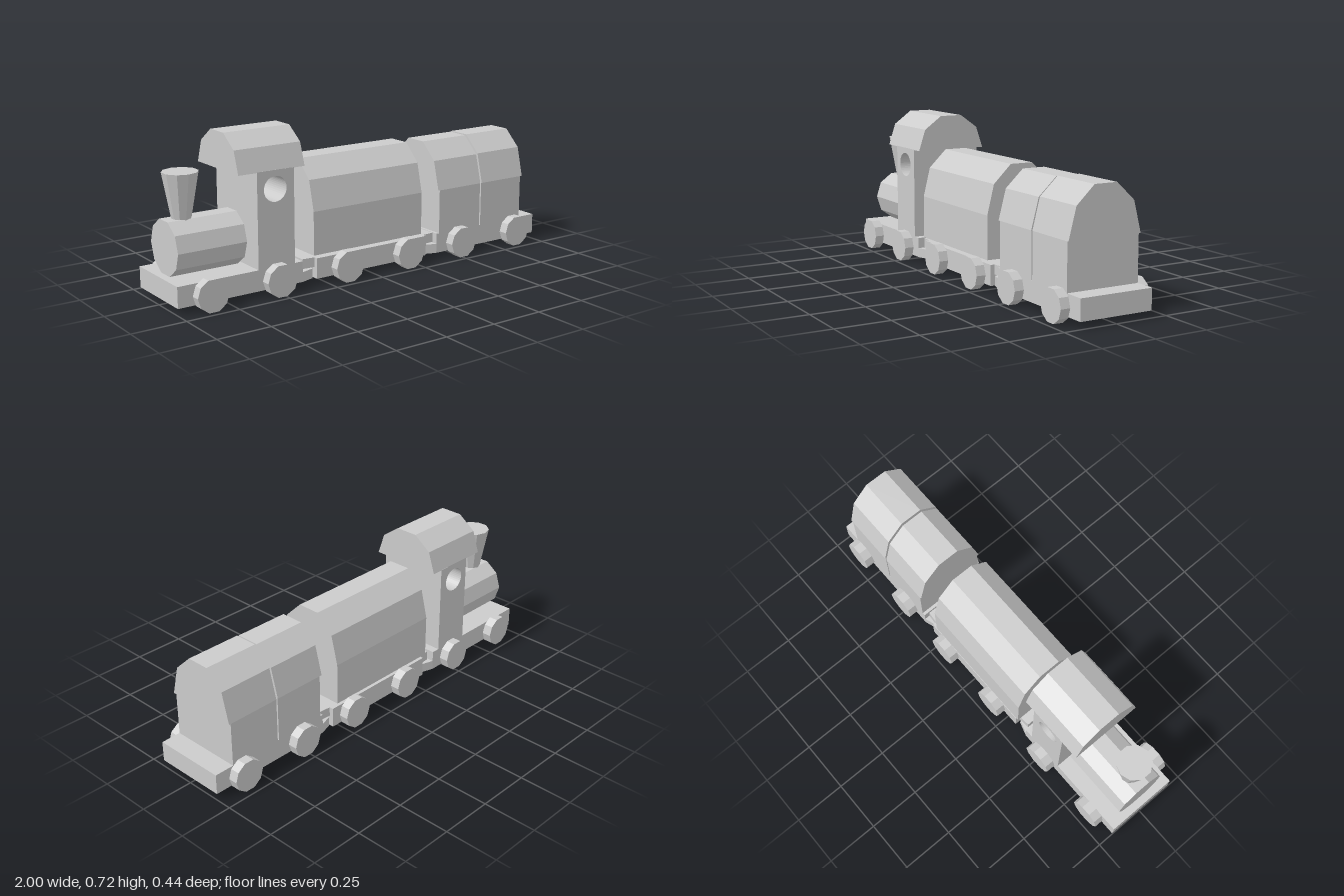
import * as THREE from 'three';

export function createModel() {
  const model = new THREE.Group();
  const mat = new THREE.MeshStandardMaterial({ color: 0xcccccc, flatShading: true });
  const W = 0.175; // half width of the train

  const add = (parent, name, geo, x = 0, y = 0, z = 0) => {
    const m = new THREE.Mesh(geo, mat);
    m.name = name;
    m.position.set(x, y, z);
    parent.add(m);
    return m;
  };
  // box given by its limits in x and y, centred on z
  const box = (parent, name, x0, x1, y0, y1, w = W) =>
    add(parent, name, new THREE.BoxGeometry(x1 - x0, y1 - y0, 2 * w), (x0 + x1) / 2, (y0 + y1) / 2);
  const toShape = (pts) => new THREE.Shape(pts.map(([x, y]) => new THREE.Vector2(x, y)));

  // faceted roof running along x
  const roof = (parent, name, x0, x1, eave, shoulder, top, w = W) => {
    const s = toShape([[-w, eave], [w, eave], [0.141, shoulder], [0.055, top], [-0.055, top], [-0.141, shoulder]]);
    const g = new THREE.ExtrudeGeometry(s, { depth: x1 - x0, bevelEnabled: false });
    g.rotateY(Math.PI / 2);
    add(parent, name, g, x0);
  };
  // coupling plate tapering from xWide to xNarrow
  const coupling = (parent, name, xWide, xNarrow, y0, y1, wWide, wNarrow) => {
    const pts = [[xWide, -wWide], [xNarrow, -wNarrow], [xNarrow, wNarrow], [xWide, wWide]];
    const g = new THREE.ExtrudeGeometry(toShape(pts), { depth: y1 - y0, bevelEnabled: false });
    g.rotateX(-Math.PI / 2);
    add(parent, name, g, 0, y0);
  };
  // ten-sided wheels, a pair per axle
  const wheelGeo = new THREE.CylinderGeometry(0.075, 0.075, 0.045, 10, 1, false, Math.PI / 2);
  wheelGeo.rotateX(Math.PI / 2);
  const wheels = (parent, xs) => {
    for (const x of xs) for (const s of [1, -1]) add(parent, 'wheel', wheelGeo, x, 0.075, s * (W + 0.0225));
  };
  const car = (name) => {
    const g = new THREE.Group();
    g.name = name;
    model.add(g);
    return g;
  };

  // locomotive
  const loco = car('locomotive');
  box(loco, 'locomotiveBase', -1, -0.385, 0.035, 0.13);
  coupling(loco, 'lowerCoupling', -0.385, -0.32, 0.035, 0.08, W, 0.155);
  wheels(loco, [-0.855, -0.515]);
  const boiler = new THREE.CylinderGeometry(0.125, 0.125, 0.33, 10);
  boiler.rotateZ(Math.PI / 2);
  add(loco, 'boiler', boiler, -0.8, 0.25);
  add(loco, 'chimney', new THREE.CylinderGeometry(0.08, 0.042, 0.21, 10), -0.88, 0.465);
  // cab with a round window right through it
  const cab = toShape([[-0.61, 0.13], [-0.425, 0.13], [-0.425, 0.56], [-0.61, 0.56]]);
  cab.holes.push(new THREE.Path().absarc(-0.52, 0.477, 0.057, 0, Math.PI * 2, true));
  add(loco, 'cab', new THREE.ExtrudeGeometry(cab, { depth: 2 * W, bevelEnabled: false, curveSegments: 20 }), 0, 0, -W);
  roof(loco, 'cabRoof', -0.7, -0.37, 0.558, 0.66, 0.722);

  // middle wagon
  const middle = car('middleWagon');
  box(middle, 'middleBase', -0.31, 0.31, 0.035, 0.13);
  coupling(middle, 'upperCoupling', -0.31, -0.37, 0.085, 0.13, 0.155, 0.15);
  coupling(middle, 'upperCoupling', 0.37, 0.31, 0.085, 0.13, 0.15, 0.155);
  wheels(middle, [-0.157, 0.19]);
  box(middle, 'wagonBody', -0.325, 0.28, 0.145, 0.345);
  roof(middle, 'wagonRoof', -0.325, 0.28, 0.345, 0.482, 0.565);

  // rear wagon carrying two separate blocks
  const rear = car('rearWagon');
  box(rear, 'rearBase', 0.375, 1, 0.035, 0.13);
  coupling(rear, 'lowerCoupling', 0.375, 0.315, 0.035, 0.08, W, 0.155);
  wheels(rear, [0.51, 0.855]);
  box(rear, 'loadBody', 0.39, 0.642, 0.13, 0.34);
  box(rear, 'loadBody', 0.649, 0.905, 0.13, 0.34);
  roof(rear, 'loadRoof', 0.38, 0.642, 0.34, 0.477, 0.557, 0.177);
  roof(rear, 'loadRoof', 0.651, 0.915, 0.34, 0.48, 0.56, 0.177);

  // make the couplings that narrow towards +x or -x face outward alike
  model.traverse((o) => {
    if (!o.isMesh || !/Coupling/.test(o.name)) return;
    o.material = mat.clone();
    o.material.side = THREE.DoubleSide;
  });
  return model;
}
